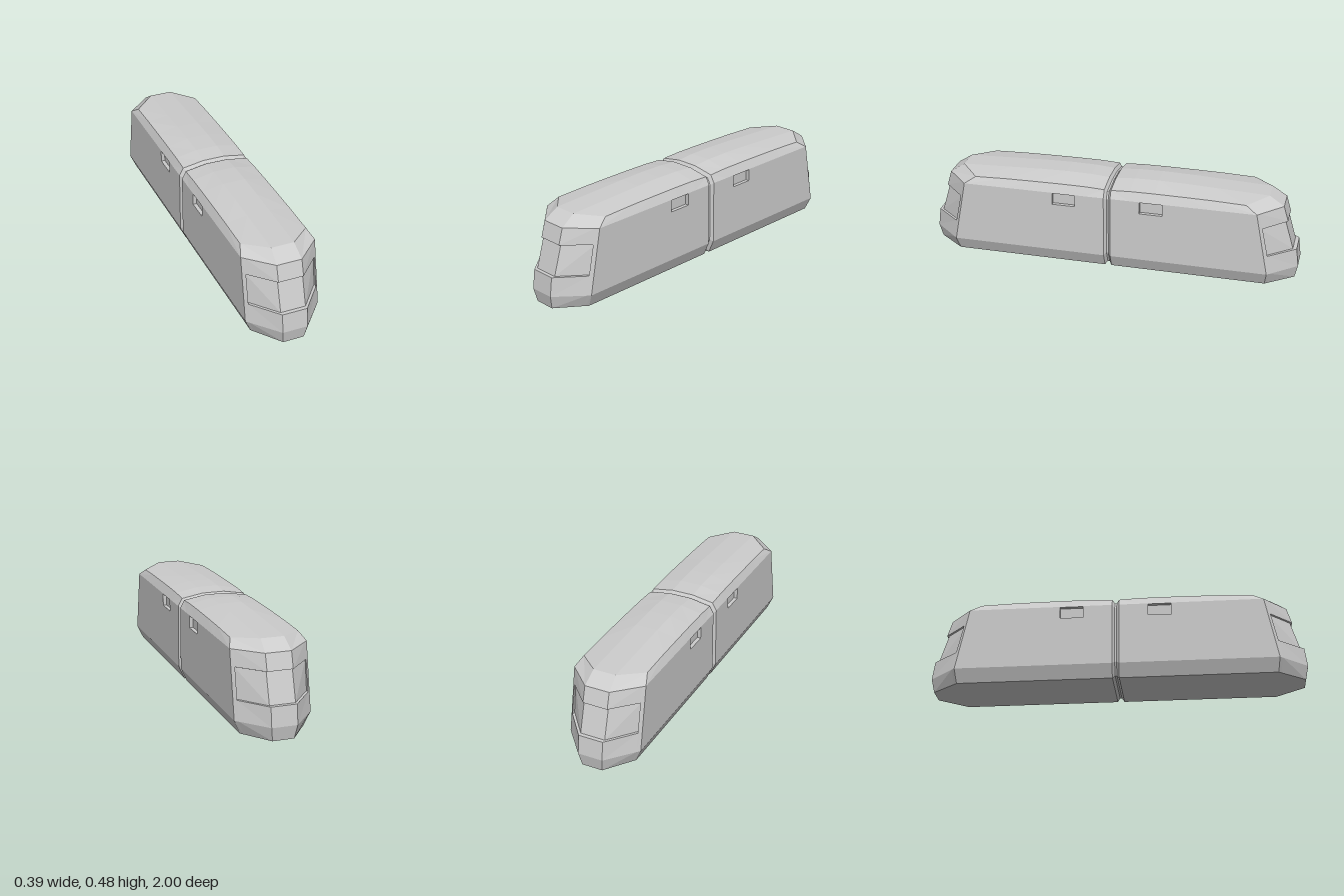
import * as THREE from 'three';

const V = (x, y, z) => [x, y, z];

// Quads between two rows of points; rows run left to right seen from outside
function strip(lower, upper, closed = false) {
  const quads = [];
  const n = lower.length;
  for (let i = 0; i < (closed ? n : n - 1); i++) {
    const j = (i + 1) % n;
    quads.push([lower[i], lower[j], upper[j], upper[i]]);
  }
  return quads;
}

// Mesh from quads of one quarter, mirrored over the given x and z signs
function mirroredMesh(name, quads, material, signsX = [1, -1], signsZ = [1, -1]) {
  const pos = [];
  for (const sx of signsX) for (const sz of signsZ) for (const q of quads) {
    const order = sx * sz > 0 ? [0, 1, 2, 0, 2, 3] : [2, 1, 0, 3, 2, 0];
    for (const k of order) pos.push(q[k][0] * sx, q[k][1], q[k][2] * sz);
  }
  const geo = new THREE.BufferGeometry();
  geo.setAttribute('position', new THREE.Float32BufferAttribute(pos, 3));
  geo.computeVertexNormals();
  const mesh = new THREE.Mesh(geo, material);
  mesh.name = name;
  return mesh;
}

export function createModel() {
  const group = new THREE.Group();
  group.name = 'twoCarTrain';
  const mat = new THREE.MeshStandardMaterial({ color: 0xcccccc, flatShading: true });
  const zEnd = 0.018; // car end beside the joint

  // Wall levels: height, half width, nose half width, side corner z, nose z
  const sideZ = (y) => 0.85 - 0.198 * (y - 0.072);
  const levels = [
    [0, 0.165, 0.055, 0.84, 0.985],
    [0.072, 0.197, 0.066, sideZ(0.072), 1],
    [0.172, 0.197, 0.066, sideZ(0.172), 0.987],
    [0.327, 0.197, 0.066, sideZ(0.327), 0.932],
    [0.41, 0.197, 0.066, sideZ(0.41), 0.907],
  ];
  // Each row: centre, nose corner, pillar, side corner
  const rows = levels.map(([y, w, n, zs, zn]) => {
    const t = 0.115;
    return [V(0, y, zn), V(n, y, zn), V(w + (n - w) * t, y, zs + (zn - zs) * t), V(w, y, zs)];
  });
  const joint = levels.map(([y, w]) => V(w, y, zEnd));

  // Nose walls, leaving an opening for the windscreen
  const nose = [
    ...strip(rows[0], rows[1]),
    ...strip(rows[1], rows[2]),
    ...strip(rows[2].slice(2), rows[3].slice(2)),
    ...strip(rows[3], rows[4]),
  ];

  // Recessed windscreen wrapping around the nose
  const back = (row, d, dy) => row.slice(0, 3).map(([x, y, z]) => V(x, y + dy, z - d));
  const glassLow = back(rows[2], 0.02, 0);
  const glassHigh = back(rows[3], 0.011, -0.003);
  const screen = [
    ...strip(glassLow, glassHigh),
    ...strip(
      [...rows[2].slice(0, 3), ...rows[3].slice(0, 3).reverse()],
      [...glassLow, ...[...glassHigh].reverse()]
    ),
  ];

  // Side wall framing a small recessed window
  const hole = (x) => [V(x, 0.343, 0.296), V(x, 0.343, 0.173), V(x, 0.407, 0.173), V(x, 0.407, 0.296)];
  const outer = hole(0.197);
  const inner = hole(0.177);
  const side = [
    ...strip([rows[0][3], joint[0]], [rows[1][3], joint[1]]),
    ...strip([rows[1][3], joint[1], joint[4], rows[4][3]], outer, true),
  ];
  const sideWindow = [inner, ...strip(outer, inner, true)];

  // Arched roof: z, edge height, crown height
  const arch = [
    [0.725, 0.447, 0.46], [0.55, 0.453, 0.471], [0.4, 0.455, 0.477],
    [0.25, 0.456, 0.48], [0.12, 0.455, 0.478], [zEnd, 0.45, 0.47],
  ];
  const eave = arch.map(([z], i) => V(0.197, 0.41, i ? z : sideZ(0.41)));
  const edge = arch.map(([z, y]) => V(0.175, y, z));
  const crown = arch.map(([z, , y], i) => V(0.06, y, i ? z : 0.83));
  const ridge = crown.map(([, y, z]) => V(0, y, z));
  const roof = [
    ...strip(eave, edge),
    ...strip(edge, crown),
    ...strip(crown, ridge),
    ...strip([rows[4][0], rows[4][1], rows[4][3]], [ridge[0], crown[0], edge[0]]),
  ];

  // Flat underside
  const floor = strip(
    [rows[0][0], V(0, 0, 0.84), V(0, 0, zEnd)],
    [rows[0][1], rows[0][3], joint[0]]
  );

  // Grooved joint between the cars
  const last = arch.length - 1;
  const ring = [V(0, 0, zEnd), joint[0], joint[1], joint[4], edge[last], crown[last], ridge[last]];
  const inset = (z) => ring.map(([x, y]) => V(x * 0.93, 0.235 + (y - 0.235) * 0.93, z));
  const groove = [...strip(inset(0.005), ring), ...strip(inset(0), inset(0.005))];

  // Two cars, front and rear
  for (const [carName, sz] of [['frontCar', 1], ['rearCar', -1]]) {
    const car = new THREE.Group();
    car.name = carName;
    const parts = { nose, windscreen: screen, sideWalls: side, roof, floor };
    for (const [name, quads] of Object.entries(parts)) {
      car.add(mirroredMesh(name, quads, mat, [1, -1], [sz]));
    }
    car.add(mirroredMesh('leftWindow', sideWindow, mat, [1], [sz]));
    car.add(mirroredMesh('rightWindow', sideWindow, mat, [-1], [sz]));
    group.add(car);
  }
  group.add(mirroredMesh('joint', groove, mat));
  return group;
}
